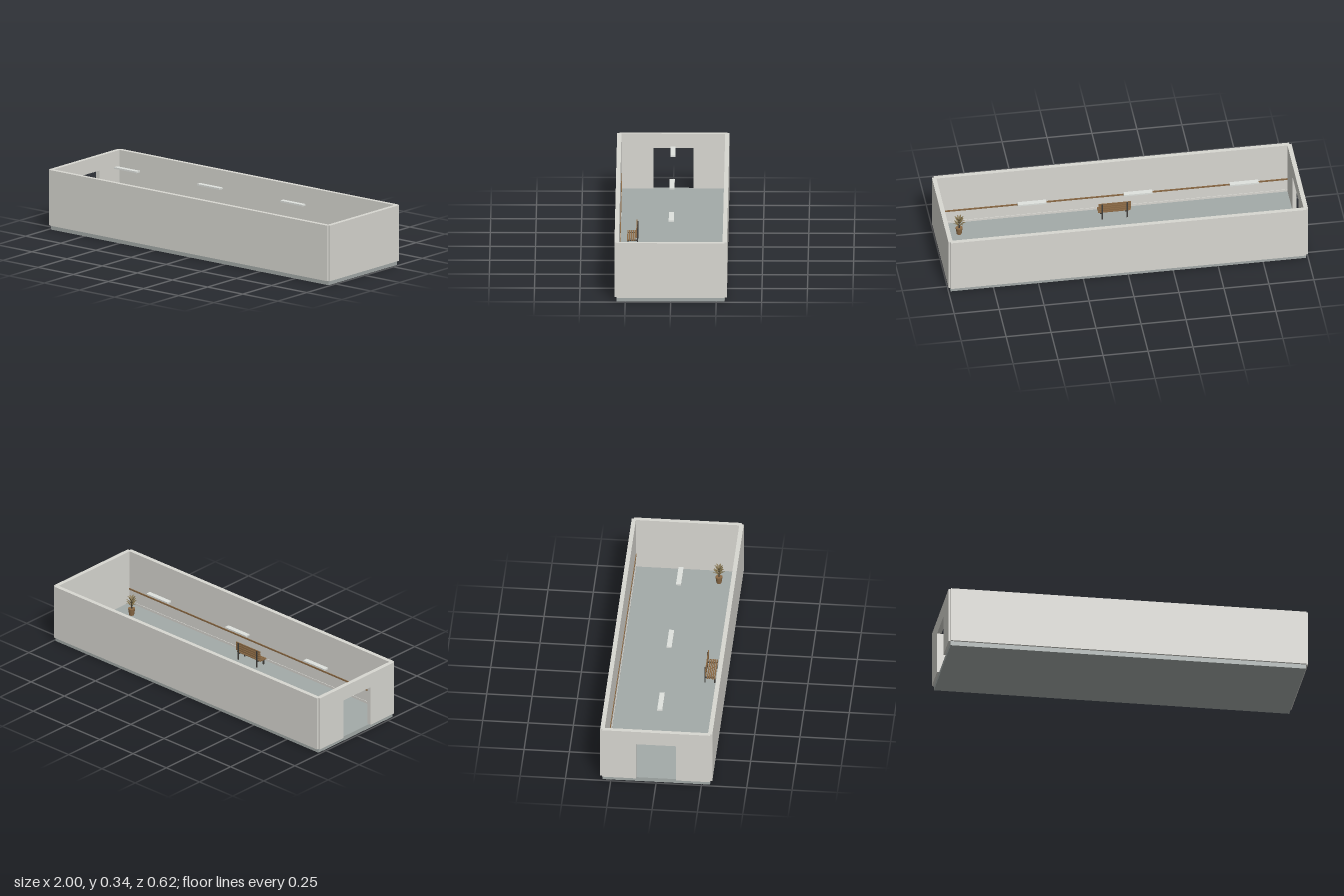
import * as THREE from 'three';

export function createModel() {
  const model = new THREE.Group();
  model.name = 'openHall';
  const mat = (name, color) => {
    const m = new THREE.MeshStandardMaterial({ color });
    m.name = name;
    return m;
  };
  const wall = mat('pale wall', 0xd8d7d1);
  const slab = mat('grey floor', 0xa3aaa8);
  const lamp = mat('lamp white', 0xdfe2de);
  const wood = mat('brown wood', 0x8b6a45);
  const dark = mat('dark metal', 0x3f3d3a);
  const leaf = mat('dry leaf', 0x7d6d48);
  leaf.side = THREE.DoubleSide;

  // Box given by its min and max corners
  const box = (parent, name, m, x0, x1, y0, y1, z0, z1) => {
    const mesh = new THREE.Mesh(new THREE.BoxGeometry(x1 - x0, y1 - y0, z1 - z0), m);
    mesh.position.set((x0 + x1) / 2, (y0 + y1) / 2, (z0 + z1) / 2);
    mesh.name = name;
    parent.add(mesh);
    return mesh;
  };
  const group = (name) => {
    const g = new THREE.Group();
    g.name = name;
    model.add(g);
    return g;
  };

  // Floor slab; the walls are centred on its edges
  const base = 0.025, top = 0.34;
  box(model, 'floor', slab, -0.988, 0.988, 0, base, -0.297, 0.297);

  // Long walls, each with a timber rail and a skirting inside
  for (const s of [-1, 1]) {
    const side = s > 0 ? 'front' : 'back';
    const strip = (name, m, x, y0, y1, zIn, zOut) =>
      box(model, side + name, m, -x, x, y0, y1, Math.min(s * zIn, s * zOut), Math.max(s * zIn, s * zOut));
    strip('Wall', wall, 0.988, base, top, 0.285, 0.309);
    strip('Rail', wood, 0.976, 0.105, 0.114, 0.281, 0.286);
    strip('Skirting', wall, 0.976, base, 0.038, 0.282, 0.286);
  }

  // End walls: one solid, one with a doorway
  box(model, 'solidEndWall', wall, 0.976, 1, base, top, -0.297, 0.297);
  const doorWall = group('doorEndWall');
  box(doorWall, 'doorWallBack', wall, -1, -0.976, base, top, -0.297, -0.11);
  box(doorWall, 'doorWallFront', wall, -1, -0.976, base, top, 0.11, 0.297);
  box(doorWall, 'lintel', wall, -1, -0.976, 0.257, top, -0.11, 0.11);

  // Row of hanging light panels
  for (const x of [-0.69, -0.1, 0.49])
    box(model, 'lightPanel', lamp, x - 0.08, x + 0.08, 0.324, 0.333, -0.014, 0.014);

  // Slatted bench with its back towards the middle of the hall
  const bench = group('bench');
  for (let i = 0; i < 5; i++) {
    const z = 0.199 + i * 0.01;
    box(bench, 'seatSlat', wood, -0.09, 0.09, 0.062, 0.068, z, z + 0.007);
  }
  for (let i = 0; i < 4; i++) {
    const y = 0.078 + i * 0.013;
    box(bench, 'backSlat', wood, -0.09, 0.09, y, y + 0.01, 0.191, 0.196);
  }
  for (const x of [-0.07, 0.07]) {
    box(bench, 'backPost', dark, x - 0.004, x + 0.004, base, 0.126, 0.186, 0.191);
    box(bench, 'seatBearer', dark, x - 0.004, x + 0.004, 0.057, 0.062, 0.191, 0.246);
    box(bench, 'frontLeg', dark, x - 0.004, x + 0.004, base, 0.057, 0.239, 0.245);
  }

  // Potted plant in the corner
  const plant = group('plant');
  plant.position.set(0.866, base, 0.183);
  const pot = new THREE.Mesh(new THREE.CylinderGeometry(0.02, 0.014, 0.04, 12), wood);
  pot.position.y = 0.02;
  pot.name = 'pot';
  const stem = new THREE.Mesh(new THREE.CylinderGeometry(0.003, 0.004, 0.045, 6), dark);
  stem.position.y = 0.06;
  stem.name = 'stem';
  plant.add(pot, stem);

  // Pointed blade rising and drooping along z
  const blade = new THREE.PlaneGeometry(0.012, 0.04, 2, 4);
  const p = blade.attributes.position;
  for (let i = 0; i < p.count; i++) {
    const t = p.getY(i) / 0.04 + 0.5;
    p.setXYZ(i, p.getX(i) * Math.sin(Math.PI * (0.1 + 0.9 * t)), 0.05 * t - 0.025 * t * t, 0.036 * t);
  }
  blade.computeVertexNormals();
  for (let i = 0; i < 18; i++) {
    const m = new THREE.Mesh(blade, leaf);
    const tier = i % 3;
    m.position.y = 0.052 + tier * 0.014;
    m.rotation.y = i * 2.4;
    m.scale.set(1, 1 + tier * 0.15, 1 - tier * 0.15);
    m.name = 'leaf';
    plant.add(m);
  }
  return model;
}
